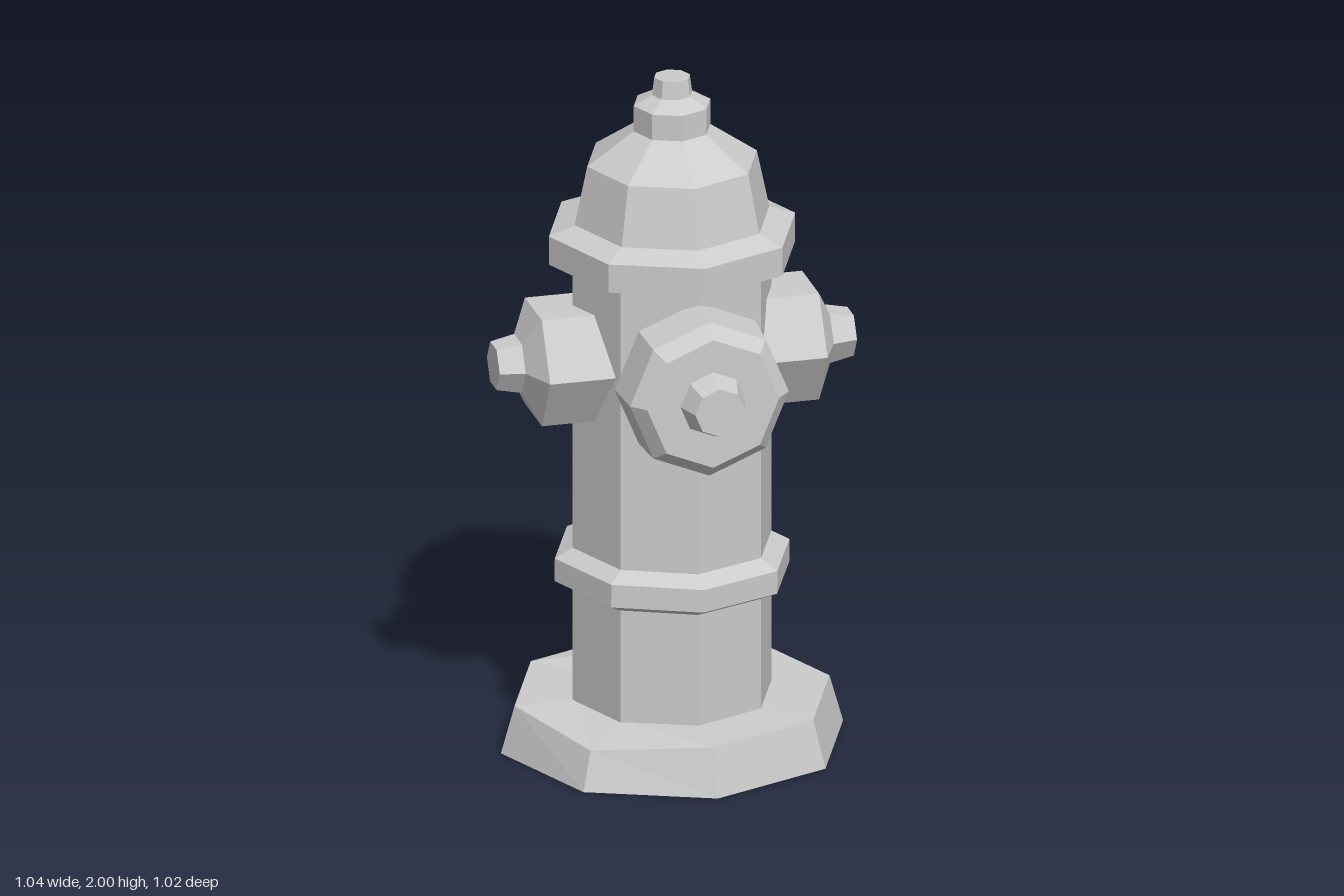
import * as THREE from 'three';

const iron = new THREE.MeshStandardMaterial({ color: 0xcccccc, flatShading: true });
iron.name = 'grey iron';

// Faceted solid turned around y from [radius, height] pairs, listed bottom to top
function turned(name, sides, profile) {
  const points = profile.map(([r, y]) => new THREE.Vector2(r, y));
  const mesh = new THREE.Mesh(new THREE.LatheGeometry(points, sides), iron);
  mesh.name = name;
  return mesh;
}

export function createModel() {
  const hydrant = new THREE.Group();
  hydrant.name = 'fireHydrant';

  // Foot plate, with one dented rim corner and a raised seam at the back
  const foot = turned('footPlate', 8, [[0, 0], [0.5, 0], [0.46, 0.14], [0.28, 0.142], [0, 0.142]]);
  const pos = foot.geometry.attributes.position;
  for (let i = 0; i < pos.count; i++) {
    const x = pos.getX(i), y = pos.getY(i), z = pos.getZ(i), r = Math.hypot(x, z);
    if (y < 0.1) continue;
    if (r > 0.4 && x < -0.3 && z > 0.3) pos.setY(i, 0.112);
    if (r > 0.2 && r < 0.4 && z < -0.27) pos.setY(i, 0.167);
  }
  hydrant.add(foot);

  // Barrel
  hydrant.add(turned('barrel', 8, [[0.29, 0.13], [0.29, 1.5]]));

  // Lower band, sitting slightly askew
  const band = turned('lowerBand', 8, [[0.27, -0.065], [0.29, -0.06], [0.343, -0.034], [0.343, 0.034], [0.29, 0.063], [0.27, 0.065]]);
  band.position.y = 0.535;
  band.rotation.set(-0.008, 0, -0.014);
  hydrant.add(band);

  // Collar under the bonnet
  hydrant.add(turned('collar', 8, [[0.27, 1.445], [0.29, 1.447], [0.36, 1.465], [0.36, 1.55], [0.285, 1.577], [0.2, 1.577]]));

  // Bonnet and operating nut
  hydrant.add(turned('bonnet', 8, [[0.288, 1.56], [0.248, 1.75], [0.11, 1.845], [0, 1.845]]));
  hydrant.add(turned('nutBase', 8, [[0.112, 1.84], [0.112, 1.92], [0.06, 1.948], [0, 1.948]]));
  hydrant.add(turned('nut', 8, [[0.06, 1.94], [0.052, 2], [0, 2]]));

  // Hexagonal side outlets
  for (const side of [1, -1]) {
    const outlet = new THREE.Group();
    outlet.name = side > 0 ? 'leftOutlet' : 'rightOutlet';
    outlet.add(turned('outletCap', 6, [[0, 0.15], [0.185, 0.15], [0.185, 0.405], [0.085, 0.45], [0, 0.45]]));
    outlet.add(turned('outletNut', 6, [[0.085, 0.45], [0.07, 0.522], [0, 0.522]]));
    outlet.position.y = 1.175;
    outlet.rotation.z = -side * Math.PI / 2;
    hydrant.add(outlet);
  }

  // Large front outlet
  const front = new THREE.Group();
  front.name = 'frontOutlet';
  front.add(turned('frontCap', 8, [[0, 0.14], [0.165, 0.16], [0.24, 0.27], [0.232, 0.408], [0.193, 0.45], [0, 0.45]]));
  front.add(turned('frontNut', 8, [[0.096, 0.45], [0.072, 0.524], [0, 0.524]]));
  front.position.y = 1.175;
  front.rotation.x = Math.PI / 2;
  hydrant.add(front);

  hydrant.position.z = -0.012;
  const model = new THREE.Group();
  model.add(hydrant);
  return model;
}
